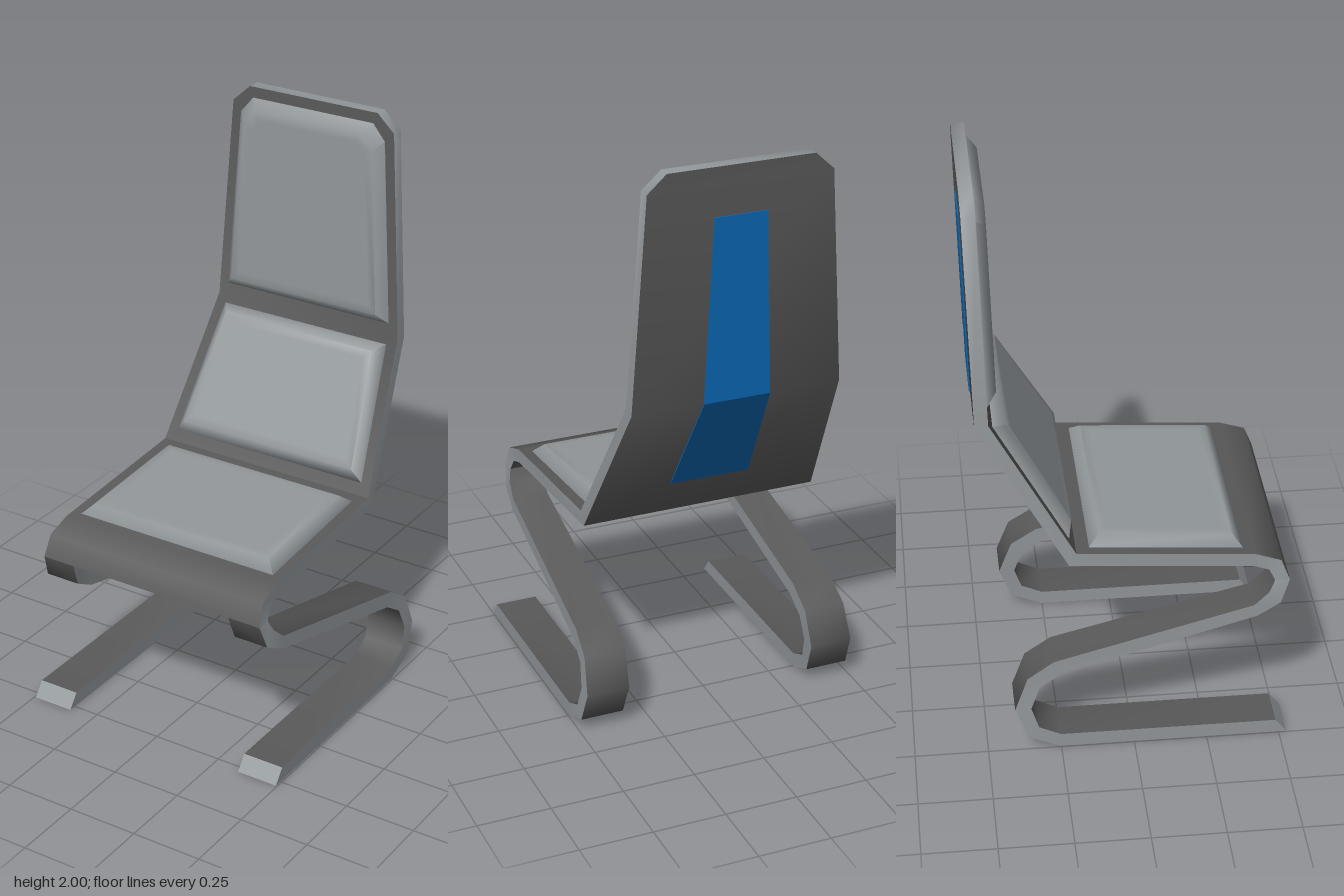
import * as THREE from 'three';
import { toCreasedNormals } from 'three/addons/utils/BufferGeometryUtils.js';

function makeMaterial(name, color) {
  const m = new THREE.MeshStandardMaterial({ color });
  m.name = name;
  return m;
}

// Turns a list of four-cornered faces into a mesh, smooth below the crease angle
function quadMesh(name, quads, material, crease) {
  const pos = [];
  for (const [a, b, c, d] of quads) pos.push(...a, ...b, ...c, ...a, ...c, ...d);
  const geo = new THREE.BufferGeometry();
  geo.setAttribute('position', new THREE.Float32BufferAttribute(pos, 3));
  const mesh = new THREE.Mesh(toCreasedNormals(geo, crease), material);
  mesh.name = name;
  return mesh;
}

// Bent bar through stations [backZ, backY, frontZ, frontY, x0, x1]
function bentBar(name, stations, faceMat, edgeMat, crease, startCap = true) {
  const rings = stations.map(([az, ay, bz, by, x0, x1]) => [
    [x0, ay, az], [x1, ay, az], [x1, by, bz], [x0, by, bz],
  ]);
  const faces = [], edges = [];
  for (let i = 0; i < rings.length - 1; i++) {
    const [a, b, c, d] = rings[i];
    const [e, f, g, h] = rings[i + 1];
    faces.push([a, b, f, e], [d, h, g, c]);
    edges.push([b, c, g, f], [d, a, e, h]);
  }
  if (startCap) {
    const [a, b, c, d] = rings[0];
    edges.push([a, d, c, b]);
  }
  edges.push(rings[rings.length - 1]);
  const group = new THREE.Group();
  group.name = name;
  group.add(
    quadMesh(name + 'Faces', faces, faceMat, crease),
    quadMesh(name + 'Edges', edges, edgeMat, crease),
  );
  return group;
}

// Bevelled cushion on the plane from p0 to p1 (z, y); outline is (x, 0..1 along the plane)
function cushion(name, p0, p1, outline, material) {
  const dz = p1[0] - p0[0], dy = p1[1] - p0[1];
  const len = Math.hypot(dz, dy);
  const halfX = Math.max(...outline.map((p) => p[0]));
  const ring = (inset, height) => outline.map(([x, t]) => {
    const v = 0.5 + (t - 0.5) * (1 - inset / (len / 2));
    return [
      x * (1 - inset / halfX),
      p0[1] + dy * v - (dz / len) * height,
      p0[0] + dz * v + (dy / len) * height,
    ];
  });
  const rings = [ring(0, -0.006), ring(0, 0.002), ring(0.035, 0.034), ring(0.065, 0.034)];
  const quads = [];
  const n = outline.length;
  for (let i = 0; i < rings.length - 1; i++) {
    for (let j = 0; j < n; j++) {
      const k = (j + 1) % n;
      quads.push([rings[i][j], rings[i][k], rings[i + 1][k], rings[i + 1][j]]);
    }
  }
  // flat middle, in strips between mirrored corners
  const top = rings[rings.length - 1];
  for (let j = 0; j < n / 2 - 1; j++) {
    const l = (n - j) % n;
    const right = j + 1, left = l === 0 ? 0 : l;
    quads.push([top[left], top[right], top[right + 1], top[n - 1 - j]]);
  }
  return quadMesh(name, quads, material, 0.93);
}

export function createModel() {
  const dark = makeMaterial('darkGrey', 0x595959);
  const light = makeMaterial('lightGrey', 0x92979a);
  const blue = makeMaterial('blue', 0x0a68b4);
  const chair = new THREE.Group();
  chair.name = 'chair';

  // Backrest and seat shell, from the top down to the front curve
  const shell = [
    [-0.525, 2.0, -0.48, 2.0, 0.25],
    [-0.523, 1.94, -0.478, 1.94, 0.315],
    [-0.505, 1.205, -0.46, 1.215, 0.363],
    [-0.21, 0.69, -0.185, 0.735, 0.417],
    [0.41, 0.645, 0.41, 0.695, 0.42],
    [0.46, 0.63, 0.5, 0.665, 0.423],
    [0.48, 0.59, 0.53, 0.59, 0.43],
  ].map(([az, ay, bz, by, w]) => [az, ay, bz, by, -w, w]);
  chair.add(bentBar('seatShell', shell, dark, light, 0.93));

  // Two cantilever legs, continuing the front curve down to the floor
  const leg = [
    [0.48, 0.59, 0.53, 0.59, 0.31, 0.43],
    [0.46, 0.55, 0.5, 0.505, 0.315, 0.441],
    [0.41, 0.505, 0.42, 0.46, 0.318, 0.447],
    [-0.27, 0.34, -0.245, 0.29, 0.33, 0.473],
    [-0.36, 0.28, -0.32, 0.24, 0.333, 0.479],
    [-0.405, 0.16, -0.35, 0.16, 0.338, 0.488],
    [-0.36, 0.045, -0.325, 0.085, 0.344, 0.494],
    [-0.255, 0, -0.25, 0.05, 0.346, 0.495],
    [0.527, 0, 0.488, 0.05, 0.346, 0.495],
  ];
  const mirrored = leg.map(([az, ay, bz, by, xi, xo]) => [az, ay, bz, by, -xo, -xi]);
  chair.add(bentBar('leftLeg', leg, dark, light, 0.93, false));
  chair.add(bentBar('rightLeg', mirrored, dark, light, 0.93, false));

  // Cushions
  chair.add(cushion('seatCushion', [0.375, 0.697], [-0.14, 0.732],
    [[-0.383, 0], [0.383, 0], [0.378, 1], [-0.378, 1]], light));
  chair.add(cushion('lowerBackCushion', [-0.207, 0.773], [-0.445, 1.189],
    [[-0.377, 0], [0.377, 0], [0.327, 1], [-0.327, 1]], light));
  chair.add(cushion('upperBackCushion', [-0.461, 1.262], [-0.478, 1.962],
    [[-0.325, 0], [0.325, 0], [0.282, 0.92], [0.235, 1], [-0.235, 1], [-0.282, 0.92]], light));

  // Blue stripe down the rear of the backrest
  const stripe = [
    [-0.5245, 1.835, -0.518, 1.835, -0.09, 0.09],
    [-0.509, 1.204, -0.503, 1.206, -0.115, 0.115],
    [-0.294, 0.83, -0.288, 0.833, -0.14, 0.14],
  ];
  chair.add(bentBar('backStripe', stripe, blue, blue, 0.1));

  return chair;
}
